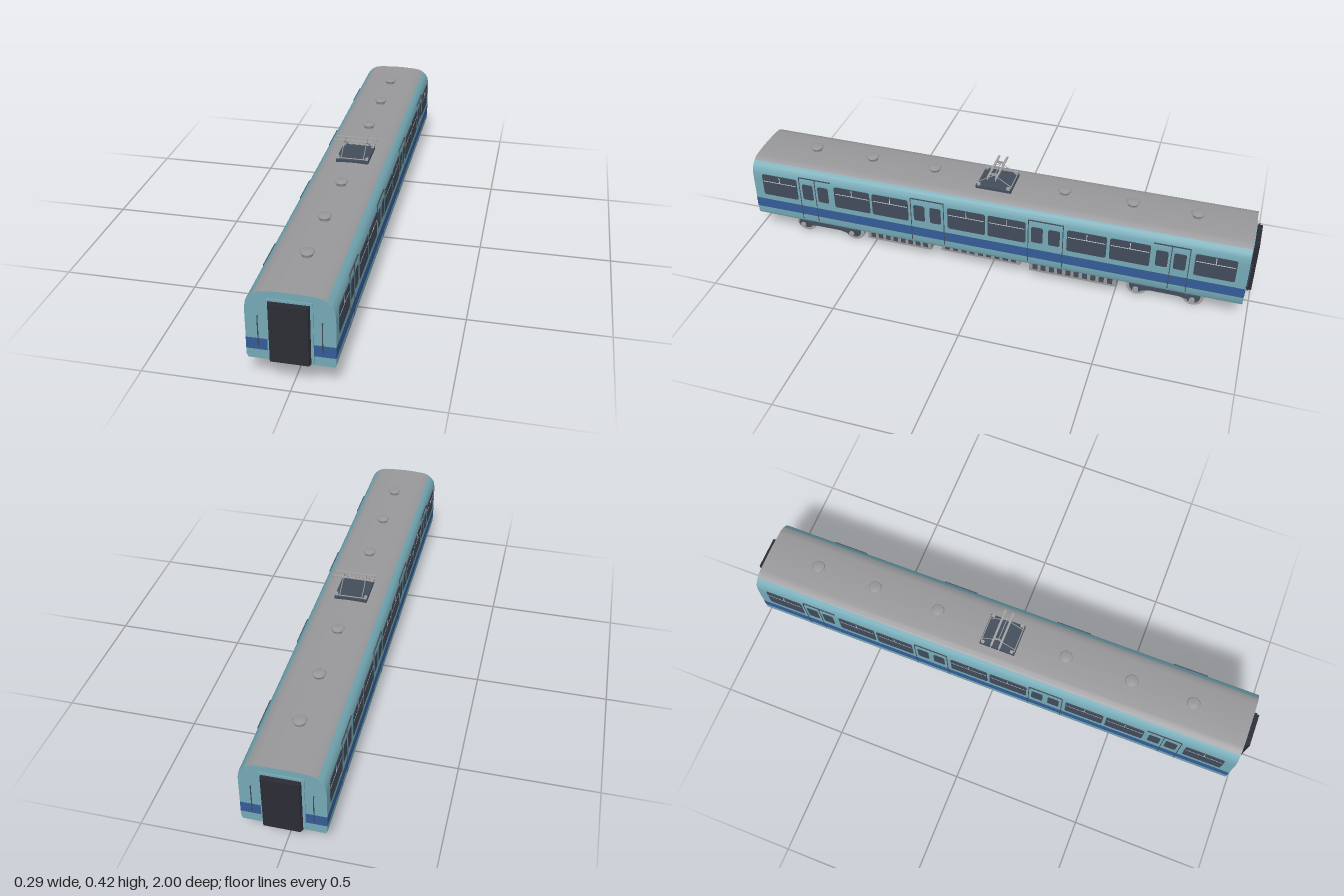
import * as THREE from 'three';

const mat = (name, color, side = THREE.FrontSide) => {
  const m = new THREE.MeshStandardMaterial({ color, side });
  m.name = name;
  return m;
};

export function createModel() {
  const teal = mat('teal paint', 0x74a9b5, THREE.DoubleSide);
  const blue = mat('blue stripe', 0x345c98, THREE.DoubleSide);
  const roofGrey = mat('roof grey', 0x98989b, THREE.DoubleSide);
  const glass = mat('dark glass', 0x414b5a);
  const rubber = mat('black rubber', 0x2c2c35);
  const slate = mat('slate metal', 0x434e5b);
  const steel = mat('light steel', 0xa2a2a2);
  const white = mat('window bars', 0xd0d4d6);

  const model = new THREE.Group();
  model.name = 'railcar';
  const group = (name, parent = model) => {
    const g = new THREE.Group();
    g.name = name;
    parent.add(g);
    return g;
  };
  const add = (name, geo, m, parent) => {
    const mesh = new THREE.Mesh(geo, m);
    mesh.name = name;
    parent.add(mesh);
    return mesh;
  };
  const box = (name, m, parent, x0, x1, y0, y1, z0, z1) => {
    const b = add(name, new THREE.BoxGeometry(x1 - x0, y1 - y0, z1 - z0), m, parent);
    b.position.set((x0 + x1) / 2, (y0 + y1) / 2, (z0 + z1) / 2);
    return b;
  };
  // Disc or drum with its axis along x
  const drum = (name, m, parent, r, x0, x1, y, z) => {
    const d = add(name, new THREE.CylinderGeometry(r, r, Math.abs(x1 - x0), 24).rotateZ(Math.PI / 2), m, parent);
    d.position.set((x0 + x1) / 2, y, z);
    return d;
  };
  const rod = (name, m, parent, a, b, r) => {
    const curve = new THREE.LineCurve3(new THREE.Vector3(...a), new THREE.Vector3(...b));
    return add(name, new THREE.TubeGeometry(curve, 1, r, 6), m, parent);
  };

  // Body shell: strips of a cross-section swept along the length
  const L = 0.977;
  const body = group('body');
  const strip = (name, pts, m) => {
    const pos = [], idx = [];
    pts.forEach(([x, y], i) => {
      pos.push(x, y, L, x, y, -L);
      if (i < pts.length - 1) {
        const a = i * 2;
        idx.push(a, a + 1, a + 3, a, a + 3, a + 2);
      }
    });
    const g = new THREE.BufferGeometry();
    g.setAttribute('position', new THREE.Float32BufferAttribute(pos, 3));
    g.setIndex(idx);
    g.computeVertexNormals();
    return add(name, g, m, body);
  };
  const flip = (pts) => pts.map(([x, y]) => [-x, y]).reverse();
  const sill = [[0.14, 0.097], [0.145, 0.108], [0.145, 0.132]];
  const band = [[0.145, 0.132], [0.145, 0.174]];
  const wall = [[0.145, 0.174], [0.145, 0.258], [0.1443, 0.288], [0.14, 0.312], [0.13, 0.327], [0.117, 0.338]];
  const roofHalf = [[0.117, 0.338], [0.103, 0.346], [0.085, 0.3495], [0.04, 0.3525]];
  for (const f of [(p) => p, flip]) {
    strip('sill', f(sill), teal);
    strip('sideStripe', f(band), blue);
    strip('sideWall', f(wall), teal);
  }
  const roof = [...roofHalf, [0, 0.3535], ...flip(roofHalf)];
  strip('roof', roof, roofGrey);
  strip('floor', [[-0.14, 0.097], [0.14, 0.097]], roofGrey);
  const half = [...sill, ...wall, ...roofHalf];
  const outline = new THREE.Shape([...half, ...flip(half)].map((p) => new THREE.Vector2(...p)));

  // Ends: wall, stripe, gangway and handrails
  for (const turn of [0, Math.PI]) {
    const end = group('end');
    end.rotation.y = turn;
    add('endWall', new THREE.ShapeGeometry(outline), teal, end).position.z = L;
    box('doorFrame', teal, end, -0.074, 0.074, 0.103, 0.327, L - 0.002, L + 0.004);
    box('gangwayBellows', rubber, end, -0.063, 0.063, 0.108, 0.318, L, 0.994);
    box('gangwayRim', rubber, end, -0.066, 0.066, 0.105, 0.321, 0.984, 0.991);
    box('gangwayFace', rubber, end, -0.063, 0.063, 0.107, 0.319, 0.994, 1);
    for (const s of [-1, 1]) {
      const stripe = add('endStripe', new THREE.PlaneGeometry(0.071, 0.042), blue, end);
      stripe.position.set(s * 0.1095, 0.153, L + 0.001);
      rod('handrail', slate, end, [s * 0.103, 0.15, L + 0.006], [s * 0.103, 0.26, L + 0.006], 0.0018);
      for (const y of [0.152, 0.258]) box('railBracket', slate, end, s * 0.103 - 0.0015, s * 0.103 + 0.0015, y - 0.002, y + 0.002, L, L + 0.006);
    }
  }

  // Rounded pane lying on the side wall
  const pane = (name, parent, zc, w, y0, y1) => {
    const r = 0.008, a = w / 2, h = (y1 - y0) / 2;
    const s = new THREE.Shape();
    s.absarc(a - r, h - r, r, 0, Math.PI / 2);
    s.absarc(r - a, h - r, r, Math.PI / 2, Math.PI);
    s.absarc(r - a, r - h, r, Math.PI, Math.PI * 1.5);
    s.absarc(a - r, r - h, r, Math.PI * 1.5, Math.PI * 2);
    const g = new THREE.ExtrudeGeometry(s, { depth: 0.004, bevelEnabled: false, curveSegments: 4 });
    add(name, g.rotateY(Math.PI / 2), glass, parent).position.set(0.142, (y0 + y1) / 2, zc);
  };

  // Windows and doors on both sides
  for (const turn of [0, Math.PI]) {
    const side = group('sideFittings');
    side.rotation.y = turn;
    for (const z of [0.863, 0.553, 0.393, 0.082, -0.078, -0.387, -0.549, -0.861]) {
      pane('window', side, z, 0.15, 0.198, 0.294);
      box('windowTransom', white, side, 0.145, 0.1465, 0.261, 0.264, z - 0.071, z + 0.071);
      box('windowMullion', white, side, 0.145, 0.1465, 0.263, 0.291, z - 0.0015, z + 0.0015);
    }
    for (const z of [0.71, 0.24, -0.23, -0.7]) {
      for (const s of [-1, 1]) pane('doorWindow', side, z + s * 0.033, 0.045, 0.208, 0.28);
      const seams = Math.abs(z) > 0.5 ? [0, Math.sign(z) * 0.067] : [-0.067, 0.067];
      for (const d of seams) box('doorSeam', slate, side, 0.1425, 0.1456, 0.11, 0.307, z + d - 0.0015, z + d + 0.0015);
      box('doorHeader', slate, side, 0.14, 0.1447, 0.306, 0.309, z - 0.067, z + 0.067);
    }
  }

  // Roof ventilators
  for (const z of [-0.765, -0.525, -0.265, 0.255, 0.515, 0.755]) {
    const profile = [[0.018, 0], [0.018, 0.012], [0.024, 0.013], [0.025, 0.016], [0.021, 0.021], [0, 0.022]];
    const v = add('roofVent', new THREE.LatheGeometry(profile.map((p) => new THREE.Vector2(...p)), 24), roofGrey, model);
    v.position.set(0, 0.352, z);
  }

  // Pantograph
  const panto = group('pantograph');
  box('pantographBase', slate, panto, -0.062, 0.062, 0.35, 0.363, -0.07, 0.07);
  for (const x of [-1, 1]) for (const z of [-1, 1]) {
    box('insulator', steel, panto, x * 0.056 - 0.005, x * 0.056 + 0.005, 0.36, 0.373, z * 0.058 - 0.006, z * 0.058 + 0.006);
    rod('pantographArm', steel, panto, [x * 0.043, 0.368, z * 0.066], [x * 0.043, 0.41, 0], 0.0016);
  }
  for (const z of [-1, 1]) {
    rod('crossTube', steel, panto, [-0.056, 0.368, z * 0.066], [0.056, 0.368, z * 0.066], 0.002);
    box('contactStrip', steel, panto, -0.077, 0.077, 0.417, 0.421, z * 0.016 - 0.004, z * 0.016 + 0.004);
    for (const x of [-1, 1]) rod('stripHorn', steel, panto, [x * 0.076, 0.419, z * 0.016], [x * 0.084, 0.412, z * 0.016], 0.002);
  }
  rod('topTube', steel, panto, [-0.044, 0.41, 0], [0.044, 0.41, 0], 0.0018);
  for (const x of [-0.043, 0.043]) box('headLink', steel, panto, x - 0.0015, x + 0.0015, 0.409, 0.418, -0.016, 0.016);

  // Underfloor equipment cases with slotted sides
  for (const [z0, z1, y0, n] of [[0.24, 0.51, 0.05, 8], [-0.126, 0.196, 0.06, 9], [-0.506, -0.163, 0.045, 10]]) {
    const unit = group('equipmentCase');
    box('case', roofGrey, unit, -0.12, 0.12, y0, 0.097, z0, z1);
    const step = (z1 - z0 - 0.016) / n;
    for (let i = 0; i < n; i++) {
      const z = z0 + 0.008 + (i + 0.5) * step;
      for (const x of [-0.12, 0.12]) box('slot', slate, unit, x - 0.001, x + 0.001, y0 + 0.01, 0.088, z - step * 0.3, z + step * 0.3);
    }
  }

  // Bogies
  const rail = [[-0.128, 0.045], [-0.085, 0.045], [-0.055, 0.052], [0.055, 0.052], [0.085, 0.045], [0.128, 0.045],
    [0.128, 0.06], [0.085, 0.063], [0.04, 0.078], [-0.04, 0.078], [-0.085, 0.063], [-0.128, 0.06]];
  const railShape = new THREE.Shape(rail.map((p) => new THREE.Vector2(...p)));
  const railGeo = new THREE.ExtrudeGeometry(railShape, { depth: 0.012, bevelEnabled: false }).rotateY(Math.PI / 2);
  for (const bz of [0.693, -0.688]) {
    const bogie = group('bogie');
    bogie.position.z = bz;
    box('bolster', slate, bogie, -0.1, 0.1, 0.054, 0.08, -0.035, 0.035);
    box('bolsterPad', roofGrey, bogie, -0.05, 0.05, 0.08, 0.098, -0.03, 0.03);
    for (const s of [-1, 1]) {
      add('sideFrame', railGeo, slate, bogie).position.x = s * 0.105 - 0.006;
      box('spring', steel, bogie, s * 0.105 - 0.01, s * 0.105 + 0.01, 0.076, 0.098, -0.02, 0.02);
      for (const z of [-0.107, 0.107]) {
        drum('wheelTread', steel, bogie, 0.041, s * 0.074, s * 0.088, 0.044, z);
        drum('wheelFlange', steel, bogie, 0.044, s * 0.071, s * 0.077, 0.044, z);
        drum('wheelWeb', slate, bogie, 0.029, s * 0.08, s * 0.0886, 0.044, z);
        drum('wheelHub', steel, bogie, 0.016, s * 0.08, s * 0.1, 0.044, z);
        box('axleBox', slate, bogie, s * 0.106 - 0.008, s * 0.106 + 0.008, 0.04, 0.069, z - 0.017, z + 0.017);
        drum('axleCap', steel, bogie, 0.011, s * 0.112, s * 0.121, 0.05, z);
        box('motorCase', roofGrey, bogie, s * 0.05 - 0.02, s * 0.05 + 0.02, 0.032, 0.063, z * 0.6 - 0.02, z * 0.6 + 0.02);
      }
    }
    for (const z of [-0.107, 0.107]) drum('axle', steel, bogie, 0.007, -0.1, 0.1, 0.044, z);
  }
  return model;
}
